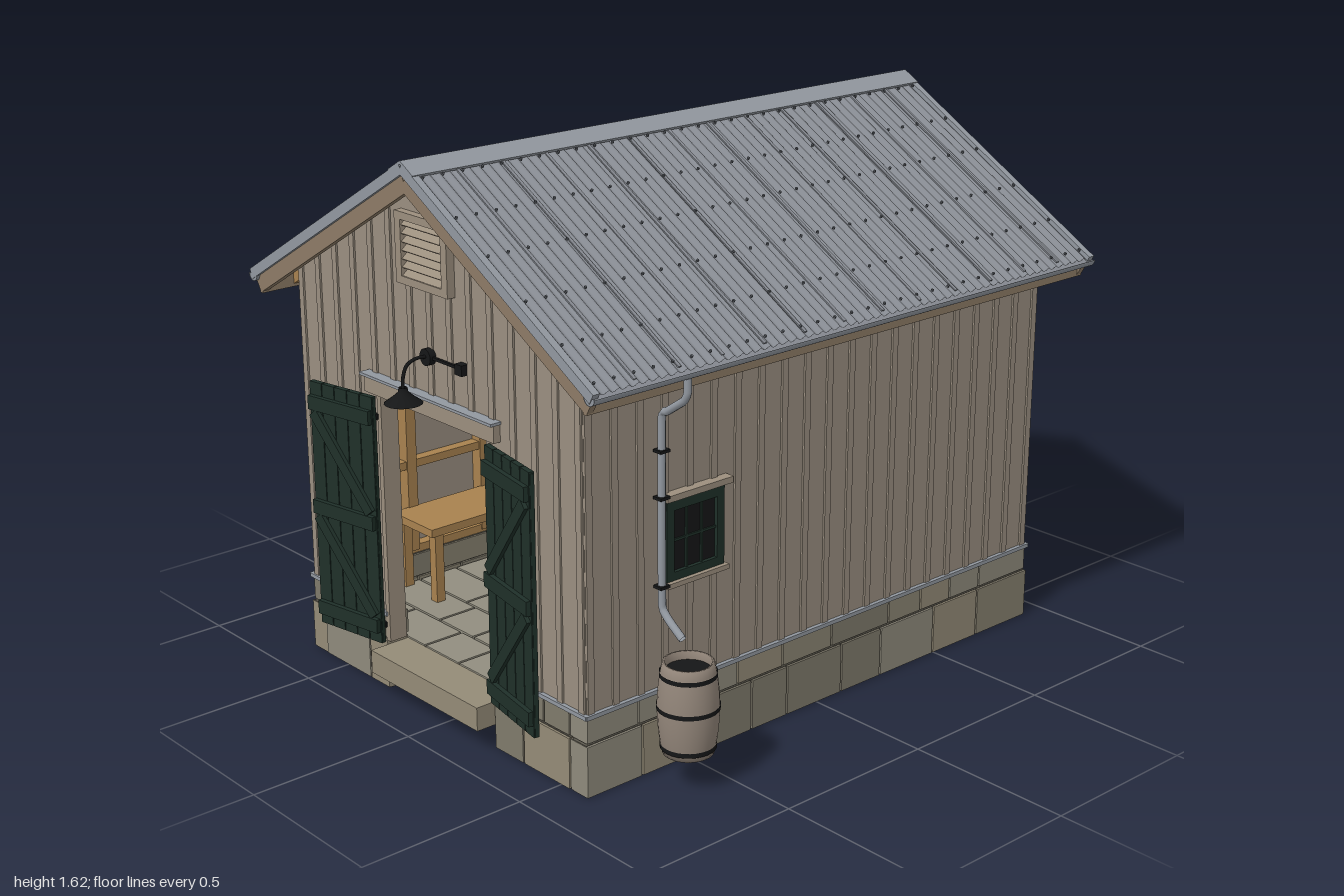
import * as THREE from 'three';
import { mergeGeometries } from 'three/addons/utils/BufferGeometryUtils.js';

const C = { wall: 0x9a8e80, trim: 0x9c8f7e, roof: 0x868a91, metal: 0x9298a0, green: 0x1f3029, wood: 0xa8824f,
  black: 0x151617, eave: 0x8d7b66, mortar: 0x5e5a50, paver: 0x928e80, barrel: 0x93867a };
const STONES = [0x8a8473, 0x7f7a6b, 0x948b77, 0x86806f, 0x8f8a7c];
const mats = {};
const mat = (color, side = THREE.FrontSide) =>
  (mats[color + '_' + side] ??= new THREE.MeshStandardMaterial({ color, side }));
let seed = 7;
const rand = () => (seed = (seed * 16807) % 2147483647) / 2147483647;

function add(parent, name, geo, color, x = 0, y = 0, z = 0, side) {
  const m = new THREE.Mesh(geo, mat(color, side));
  m.name = name;
  m.position.set(x, y, z);
  parent.add(m);
  return m;
}
const box = (p, name, color, w, h, d, x, y, z) => add(p, name, new THREE.BoxGeometry(w, h, d), color, x, y, z);
// box given by its limits
const span = (p, name, color, x0, x1, y0, y1, z0, z1) =>
  box(p, name, color, x1 - x0, y1 - y0, z1 - z0, (x0 + x1) / 2, (y0 + y1) / 2, (z0 + z1) / 2);
function group(parent, name) {
  const g = new THREE.Group();
  g.name = name;
  parent.add(g);
  return g;
}

const SLOPE = 0.577, ANG = Math.atan(SLOPE), RIDGE = 1.605;
const FRONT = 0.85, BACK = -0.91, HALF = 0.635, ZR0 = -1, ZR1 = 0.93;
const roofY = x => RIDGE - SLOPE * Math.abs(x);
// lays a mesh on a roof slope, centred at distance x from the ridge and sunk by drop
function onSlope(m, s, x, drop, z) {
  m.position.set(s * x, roofY(x) - drop, z);
  m.rotation.z = -s * ANG;
  return m;
}

// one course of stones along x or z, with a mortar core
function course(p, axis, a, b, y0, y1, at, t) {
  const put = (name, color, u0, u1, v0, v1, th) => axis === 'x'
    ? span(p, name, color, u0, u1, v0, v1, at - th / 2, at + th / 2)
    : span(p, name, color, at - th / 2, at + th / 2, v0, v1, u0, u1);
  put('mortar', C.mortar, a + 0.004, b - 0.004, y0, y1, t - 0.014);
  for (let u = a; u < b - 0.01;) {
    let e = u + 0.12 + rand() * 0.12;
    if (b - e < 0.09) e = b;
    put('stone', STONES[Math.floor(rand() * 5)], u + 0.003, e - 0.003, y0 + 0.002, y1 - 0.002, t);
    u = e;
  }
}

function foundation(root) {
  const g = group(root, 'foundation');
  for (const [y0, y1, o] of [[0, 0.152, 0.645], [0.155, 0.23, 0.64]]) {
    const t = 0.07, zf = FRONT + o - 0.635, zb = BACK - o + 0.635;
    for (const s of [-1, 1]) {
      course(g, 'z', zb, zf, y0, y1, s * (o - t / 2), t);
      course(g, 'x', s < 0 ? -o + t : 0.25, s < 0 ? -0.25 : o - t, y0, y1, zf - t / 2, t);
    }
    course(g, 'x', -o + t, o - t, y0, y1, zb + t / 2, t);
  }
  span(g, 'doorStep', STONES[2], -0.25, 0.25, 0.07, 0.14, 0.79, 0.92);
  // metal drip edge over the stones
  for (const s of [-1, 1]) {
    span(g, 'dripEdge', C.metal, s * 0.642 - 0.006, s * 0.642 + 0.006, 0.228, 0.24, BACK - 0.01, FRONT + 0.01);
    span(g, 'dripEdge', C.metal, s < 0 ? -0.645 : 0.25, s < 0 ? -0.25 : 0.645, 0.228, 0.24, FRONT, FRONT + 0.012);
  }
  span(g, 'dripEdge', C.metal, -0.645, 0.645, 0.228, 0.24, BACK - 0.012, BACK);
  // paving over the front half of the room
  for (let i = 0; i < 6; i++) {
    const z1 = 0.79 - i * 0.138;
    for (let x = -0.57; x < 0.56;) {
      let e = x + 0.16 + rand() * 0.14;
      if (0.57 - e < 0.1) e = 0.57;
      span(g, 'paver', C.paver, x + 0.004, e - 0.004, 0.12, 0.145, z1 - 0.13, z1);
      x = e;
    }
  }
}

function gable(root, s) {
  const g = group(root, s > 0 ? 'frontWall' : 'backWall'), zf = s > 0 ? FRONT : BACK;
  const top = x => roofY(x) - 0.03, shape = new THREE.Shape();
  const pts = [[-HALF, 0.232], [-0.25, 0.232], [-0.25, 0.9], [0.25, 0.9], [0.25, 0.232], [HALF, 0.232],
    [HALF, top(HALF)], [0, top(0)], [-HALF, top(HALF)]];
  pts.filter((_, i) => s > 0 || i < 1 || i > 4).forEach(([x, y], i) => i ? shape.lineTo(x, y) : shape.moveTo(x, y));
  add(g, 'wallBoards', new THREE.ExtrudeGeometry(shape, { depth: 0.02, bevelEnabled: false }), C.wall, 0, 0, s > 0 ? zf - 0.02 : zf);
  for (let i = -7; i <= 7; i++) {
    const x = i * 0.0885, y0 = s > 0 && Math.abs(x) < 0.27 ? 0.95 : 0.24;
    const y1 = Math.abs(x) < 0.125 ? 1.26 : top(x) - 0.01;
    span(g, 'batten', C.wall, x - 0.011, x + 0.011, y0, y1, zf - 0.006, zf + 0.006);
  }
  // louvred vent
  const v = group(g, 'vent'), zv = zf + s * 0.01;
  box(v, 'ventBack', C.mortar, 0.2, 0.18, 0.01, 0, 1.36, zf);
  for (const k of [-1, 1]) {
    box(v, 'ventSide', C.trim, 0.026, 0.2, 0.03, k * 0.102, 1.36, zv);
    box(v, 'ventRail', C.trim, 0.2, 0.022, 0.03, 0, 1.36 + k * 0.089, zv);
  }
  for (let i = 0; i < 7; i++)
    box(v, 'louvre', C.trim, 0.18, 0.004, 0.028, 0, 1.29 + i * 0.0235, zv).rotation.x = s * 0.7;
}

function sideWall(root, s) {
  const g = group(root, s > 0 ? 'leftWall' : 'rightWall');
  span(g, 'wallBoards', C.wall, s * 0.625 - 0.01, s * 0.625 + 0.01, 0.232, 1.2, BACK + 0.001, FRONT - 0.001);
  for (let i = 0; i < 21; i++) {
    const z = FRONT - 0.012 - i * 0.0868;
    const cut = s > 0 && z > 0.36 && z < 0.6;
    for (const [y0, y1] of cut ? [[0.24, 0.53], [0.78, 1.19]] : [[0.24, 1.19]])
      span(g, 'batten', C.wall, s * HALF - 0.006, s * HALF + 0.006, y0, y1, z - 0.011, z + 0.011);
  }
  // framing inside
  for (let i = 0; i < 7; i++) box(g, 'stud', C.wood, 0.04, 0.95, 0.035, s * 0.595, 0.715, 0.8 - i * 0.275);
  for (const y of [0.243, 0.52, 0.82, 1.17]) box(g, 'wallRail', C.wood, 0.035, 0.025, 1.7, s * 0.597, y, -0.03);
}

function door(root, s) {
  const g = group(root, s > 0 ? 'leftDoor' : 'rightDoor'), W = 0.25, cx = s * W / 2;
  g.position.set(s * 0.258, 0.145, 0.868);
  g.rotation.y = -s * 0.18;
  for (let i = 0; i < 5; i++) box(g, 'plank', C.green, 0.047, 0.75, 0.016, s * (0.025 + i * 0.05), 0.375, 0);
  box(g, 'doorCore', C.green, W, 0.74, 0.01, cx, 0.375, 0);
  for (const y of [0.055, 0.372, 0.69]) box(g, 'ledge', C.green, W - 0.01, 0.042, 0.016, cx, y, 0.014);
  for (const y of [0.213, 0.531])
    box(g, 'brace', C.green, 0.335, 0.034, 0.014, cx, y, 0.013).rotation.z = s * Math.atan2(0.265, 0.215);
  for (const y of [0.055, 0.69]) box(g, 'hinge', C.black, 0.1, 0.016, 0.01, s * 0.045, y, -0.01);
  span(root, 'doorJamb', C.trim, s * 0.25 - 0.009, s * 0.25 + 0.009, 0.15, 0.905, 0.8, 0.857);
}

function roof(root) {
  const g = group(root, 'roof'), L = 0.765 / Math.cos(ANG), zl = ZR1 - ZR0, zc = (ZR0 + ZR1) / 2;
  // corrugated sheet
  const sheet = new THREE.PlaneGeometry(L, zl, 1, 480).rotateX(-Math.PI / 2), p = sheet.attributes.position;
  for (let i = 0; i < p.count; i++) p.setY(i, 0.005 * Math.sin(p.getZ(i) * Math.PI * 2 / 0.0322));
  sheet.computeVertexNormals();
  for (const s of [-1, 1]) {
    onSlope(add(g, 'corrugatedSheet', sheet, C.roof, 0, 0, 0, THREE.DoubleSide), s, 0.3825, -0.002, zc);
    onSlope(box(g, 'roofDeck', C.roof, L, 0.012, zl - 0.004, 0, 0, 0), s, 0.3825, 0.014, zc);
    for (let i = 1; i < 13; i++)
      onSlope(box(g, 'sheetSeam', C.roof, L - 0.02, 0.004, 0.01, 0, 0, 0), s, 0.3825, -0.008, ZR0 + i * zl / 13);
    onSlope(box(g, 'ridgeCap', C.metal, 0.062, 0.008, zl, 0, 0, 0), s, 0.026, -0.011, zc);
    // gable trim and barge boards at both ends
    for (const [z, e] of [[ZR1, -1], [ZR0, 1]]) {
      onSlope(box(g, 'gableTrim', C.metal, L, 0.03, 0.022, 0, 0, 0), s, 0.3825, 0.005, z + e * 0.011);
      onSlope(box(g, 'bargeBoard', C.eave, L - 0.02, 0.05, 0.02, 0, 0, 0), s, 0.372, 0.046, z + e * 0.02);
    }
    for (let i = 0; i < 9; i++)
      onSlope(box(g, 'rafter', C.wood, 0.84, 0.045, 0.03, 0, 0, 0), s, 0.37, 0.046, 0.8 - i * 0.2075);
    box(g, 'fascia', C.eave, 0.014, 0.055, zl - 0.02, s * 0.729, 1.135, zc);
    // screws
    const heads = [];
    for (const x of [0.06, 0.2, 0.33, 0.48, 0.62, 0.74])
      for (let i = 0; i < 30; i++)
        heads.push(new THREE.CylinderGeometry(0.004, 0.004, 0.006, 6).rotateZ(-s * ANG)
          .translate(s * x, roofY(x) + 0.011, ZR0 + 0.03 + i * 0.0645));
    add(g, 'screws', mergeGeometries(heads), 0x55595f);
    // gutter
    const gut = new THREE.CylinderGeometry(0.021, 0.021, zl, 12, 1, true, -Math.PI / 2, Math.PI).rotateX(Math.PI / 2);
    add(g, 'gutter', gut, C.metal, s * 0.756, 1.16, zc, THREE.DoubleSide);
    for (const z of [ZR0 + 0.002, ZR1 - 0.002])
      add(g, 'gutterEnd', new THREE.CircleGeometry(0.021, 12, Math.PI, Math.PI), C.metal, s * 0.756, 1.16, z, THREE.DoubleSide);
  }
}

function downpipe(root, name, z, pts, clips) {
  const g = group(root, name), path = new THREE.CatmullRomCurve3(pts.map(([x, y]) => new THREE.Vector3(x, y, z)), false, 'catmullrom', 0.25);
  add(g, 'pipe', new THREE.TubeGeometry(path, 60, 0.011, 10), C.metal, 0, 0, 0, THREE.DoubleSide);
  for (const y of clips) box(g, 'pipeClip', C.black, 0.03, 0.008, 0.034, pts[4][0], y, z);
}

function windowUnit(root) {
  const g = group(root, 'window'), z = 0.485;
  box(g, 'glass', C.black, 0.02, 0.2, 0.17, 0.636, 0.655, z);
  for (const k of [-1, 1]) {
    box(g, 'frameSide', C.green, 0.034, 0.225, 0.026, 0.64, 0.655, z + k * 0.09);
    box(g, 'frameRail', C.green, 0.034, 0.026, 0.18, 0.64, 0.655 + k * 0.1, z);
    box(g, 'muntin', C.green, 0.026, 0.2, 0.007, 0.638, 0.655, z + k * 0.027);
  }
  box(g, 'muntin', C.green, 0.026, 0.007, 0.17, 0.638, 0.655, z);
  box(g, 'windowHead', C.trim, 0.045, 0.018, 0.235, 0.643, 0.781, z - 0.01);
  box(g, 'windowSill', C.trim, 0.05, 0.014, 0.22, 0.645, 0.537, z);
}

function lamp(root) {
  const g = group(root, 'wallLamp'), V = (y, z) => new THREE.Vector3(0, y, z);
  add(g, 'mount', new THREE.CylinderGeometry(0.024, 0.024, 0.02, 20).rotateX(Math.PI / 2), C.black, 0, 1.073, 0.862);
  const arm = new THREE.CatmullRomCurve3([V(1.073, 0.86), V(1.076, 0.9), V(1.063, 0.932), V(1.03, 0.946), V(0.995, 0.947)]);
  add(g, 'arm', new THREE.TubeGeometry(arm, 24, 0.005, 8), C.black);
  const prof = [[0.012, 1.005], [0.014, 0.992], [0.03, 0.978], [0.053, 0.961]].map(a => new THREE.Vector2(...a));
  add(g, 'shade', new THREE.LatheGeometry(prof.reverse(), 24), C.black, 0, 0, 0.947, THREE.DoubleSide);
  add(g, 'bulb', new THREE.SphereGeometry(0.012, 12, 8), 0xcccccc, 0, 0.975, 0.947);
  box(g, 'conduit', C.black, 0.15, 0.008, 0.008, 0.075, 1.073, 0.86);
  box(g, 'switchBox', C.black, 0.03, 0.03, 0.024, 0.15, 1.073, 0.862);
}

function barrel(root) {
  const g = group(root, 'rainBarrel');
  g.position.set(0.76, 0.1, 0.605);
  const r = y => 0.084 - 0.014 * ((y - 0.13) / 0.13) ** 2, prof = [new THREE.Vector2(0, 0)];
  for (let i = 0; i <= 12; i++) prof.push(new THREE.Vector2(r(i * 0.26 / 12), i * 0.26 / 12));
  prof.push(new THREE.Vector2(0.062, 0.26), new THREE.Vector2(0.062, 0.235));
  add(g, 'staves', new THREE.LatheGeometry(prof, 28), C.barrel, 0, 0, 0, THREE.DoubleSide);
  add(g, 'water', new THREE.CircleGeometry(0.063, 28).rotateX(-Math.PI / 2), C.black, 0, 0.237, 0);
  for (const y of [0.022, 0.135, 0.228])
    add(g, 'hoop', new THREE.CylinderGeometry(r(y) + 0.002, r(y) + 0.002, 0.013, 28, 1, true), C.black, 0, y, 0, THREE.DoubleSide);
}

export function createModel() {
  seed = 7;
  const model = new THREE.Group();
  model.name = 'shed';
  const root = group(model, 'building');
  root.position.x = -0.035;
  foundation(root);
  for (const s of [-1, 1]) { gable(root, s); sideWall(root, s); door(root, s); }
  span(root, 'doorHeader', C.trim, -0.295, 0.295, 0.905, 0.955, 0.84, 0.872);
  span(root, 'headerFlashing', C.metal, -0.3, 0.3, 0.955, 0.963, 0.84, 0.885);
  span(root, 'backSill', C.wood, -0.6, 0.6, 0.23, 0.255, -0.89, -0.85);
  // low bench inside
  const bench = group(root, 'bench');
  span(bench, 'benchTop', C.wood, -0.58, -0.38, 0.36, 0.385, 0.05, 0.6);
  for (const x of [-0.56, -0.4]) for (const z of [0.08, 0.57]) box(bench, 'benchLeg', C.wood, 0.03, 0.22, 0.03, x, 0.25, z);
  roof(root);
  windowUnit(root);
  lamp(root);
  downpipe(root, 'leftDownpipe', 0.605, [[0.755, 1.145], [0.755, 1.1], [0.74, 1.075], [0.675, 1.03], [0.656, 1],
    [0.656, 0.52], [0.66, 0.475], [0.685, 0.45], [0.737, 0.415]], [0.92, 0.79, 0.54]);
  downpipe(root, 'rightDownpipe', -0.715, [[-0.755, 1.145], [-0.755, 1.1], [-0.74, 1.075], [-0.675, 1.03], [-0.651, 1],
    [-0.651, 0.21], [-0.653, 0.175], [-0.662, 0.155], [-0.685, 0.14]], [0.92, 0.6, 0.32]);
  span(root, 'splashBlock', STONES[4], -0.76, -0.665, 0.082, 0.104, -0.775, -0.655);
  barrel(root);
  return model;
}
